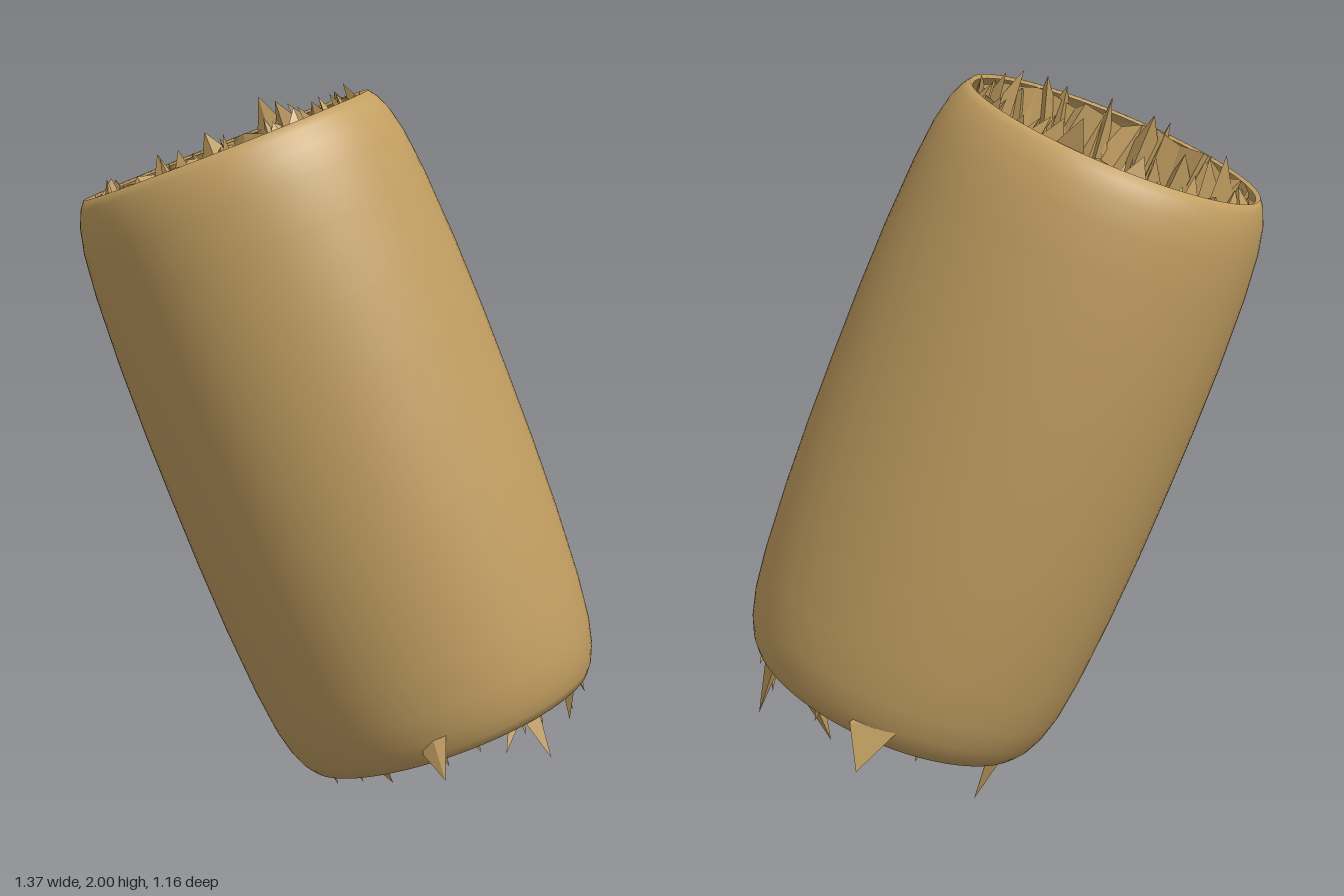
import * as THREE from 'three';

const BASE = new THREE.Vector3(0, 1.04, 0.008);
const AXIS = new THREE.Vector3(-0.308, 0.933, 0.188).normalize();
const END = 0.86; // half length along the axis
const SX = 1.042, SZ = 0.97; // slightly oval section

// Repeatable noise
let seed = 11;
const rnd = () => {
  seed = (seed * 16807) % 2147483647;
  return seed / 2147483647;
};
const polar = (a, y, r) => new THREE.Vector3(Math.cos(a) * r * SX, y, Math.sin(a) * r * SZ);

// Pointed splinter: a thin tetrahedron on three base corners
function splinter(list, a, b, c, tip) {
  for (const tri of [[a, b, tip], [b, c, tip], [c, a, tip], [a, c, b]])
    for (const p of tri) list.push(p.x, p.y, p.z);
}

function rawMesh(name, list, material) {
  const g = new THREE.BufferGeometry();
  g.setAttribute('position', new THREE.Float32BufferAttribute(list, 3));
  g.computeVertexNormals();
  const m = new THREE.Mesh(g, material);
  m.name = name;
  return m;
}

export function createModel() {
  const root = new THREE.Group();
  root.name = 'hollowBarrel';
  const barrel = new THREE.Group();
  barrel.name = 'tiltedBarrel';
  barrel.position.copy(BASE);
  barrel.quaternion.setFromUnitVectors(new THREE.Vector3(0, 1, 0), AXIS);
  root.add(barrel);

  const smooth = new THREE.MeshStandardMaterial({ color: 0xc4a062, side: THREE.DoubleSide });
  const rough = new THREE.MeshStandardMaterial({ color: 0xc4a062, side: THREE.DoubleSide, flatShading: true });

  // Smooth bulging shell, drawn in to a narrow lip at both ends
  const half = [[0.49, 0], [0.489, 0.2], [0.484, 0.4], [0.473, 0.6], [0.46, 0.72],
    [0.444, 0.79], [0.425, 0.835], [0.408, 0.858], [0.398, 0.85]];
  const profile = [...half.slice(1).reverse().map(([r, y]) => [r, -y]), ...half]
    .map(([r, y]) => new THREE.Vector2(r, y));
  const shell = new THREE.Mesh(new THREE.LatheGeometry(profile, 96).scale(SX, 1, SZ), smooth);
  shell.name = 'outerShell';
  barrel.add(shell);

  // Rough torn lining: long uneven facets running along the axis
  const cols = 44, rows = 6;
  const liningGeo = new THREE.CylinderGeometry(0.4, 0.4, 2 * END - 0.03, cols, rows, true);
  const pos = liningGeo.attributes.position;
  for (let row = 0; row <= rows; row++) {
    const atEnd = row === 0 || row === rows;
    for (let c = 0; c < cols; c++) {
      const a = ((c + (rnd() - 0.5) * 0.9) / cols) * Math.PI * 2;
      const r = atEnd ? 0.375 + rnd() * 0.03 : 0.325 + rnd() * 0.1;
      const k = row * (cols + 1) + c;
      const p = polar(a, pos.getY(k) + (rnd() - 0.5) * (atEnd ? 0.04 : 0.24), r);
      pos.setXYZ(k, p.x, p.y, p.z);
      if (c === 0) pos.setXYZ(k + cols, p.x, p.y, p.z);
    }
  }
  const lining = new THREE.Mesh(liningGeo, rough);
  lining.name = 'roughLining';
  barrel.add(lining);

  // Long slivers lying along the inside wall
  const slivers = [];
  for (let i = 0; i < 40; i++) {
    const a = rnd() * Math.PI * 2, w = 0.14 + rnd() * 0.16;
    const y = (rnd() - 0.5) * 1.2, len = (0.3 + rnd() * 0.4) * (rnd() < 0.5 ? -1 : 1);
    const tipY = THREE.MathUtils.clamp(y + len, -0.8, 0.8);
    splinter(slivers, polar(a, y, 0.4), polar(a + w, y + 0.06, 0.39),
      polar(a + w / 2, y - 0.05, 0.34), polar(a + (rnd() - 0.5) * 0.3, tipY, 0.32 + rnd() * 0.07));
  }
  barrel.add(rawMesh('innerSlivers', slivers, rough));

  // Ragged, chunky teeth around both rims
  for (const side of [1, -1]) {
    const teeth = [];
    for (let i = 0; i < 34; i++) {
      const a = ((i + rnd() * 0.8) / 34) * Math.PI * 2, w = 0.16 + rnd() * 0.14;
      const y = side * (0.68 + rnd() * 0.14);
      splinter(teeth, polar(a, y, 0.42), polar(a + w, y + rnd() * 0.05, 0.415),
        polar(a + w / 2, y - side * 0.1, 0.34),
        polar(a + (rnd() - 0.3) * 0.25, side * (0.83 + rnd() * 0.07), 0.345 + rnd() * 0.055));
    }
    barrel.add(rawMesh(side > 0 ? 'topTeeth' : 'bottomTeeth', teeth, rough));
  }

  // Long spikes that reach past the rims: tip position and half width in radians
  const tips = [
    [-0.07, 0, -0.22, 0.14], [0.37, 0.1, -0.31, 0.12], [0.675, 0.22, 0.01, 0.09],
    [0.5, 0.2, 0.28, 0.09], [0.07, 0.18, -0.575, 0.15], [0.5, 0.21, -0.47, 0.1],
    [0, 0.07, 0.05, 0.08], [0.55, 0.22, -0.35, 0.1],
    [-0.4, 1.96, -0.2, 0.16], [-0.33, 1.95, -0.18, 0.14], [-0.22, 1.95, -0.2, 0.12],
    [-0.52, 1.86, -0.1, 0.14], [-0.12, 1.98, -0.16, 0.14], [-0.6, 1.8, 0.02, 0.12]];
  const inverse = barrel.quaternion.clone().invert();
  const spikes = [];
  for (const [x, y, z, w] of tips) {
    const tip = new THREE.Vector3(x, y, z).sub(BASE).applyQuaternion(inverse);
    const a = Math.atan2(tip.z / SZ, tip.x / SX), s = Math.sign(tip.y);
    const r = Math.hypot(tip.x, tip.z) > 0.43 ? 0.44 : 0.4;
    splinter(spikes, polar(a - w, s * 0.78, r), polar(a + w, s * 0.82, r), polar(a, s * 0.7, r - 0.05), tip);
  }
  barrel.add(rawMesh('longSpikes', spikes, rough));

  return root;
}
